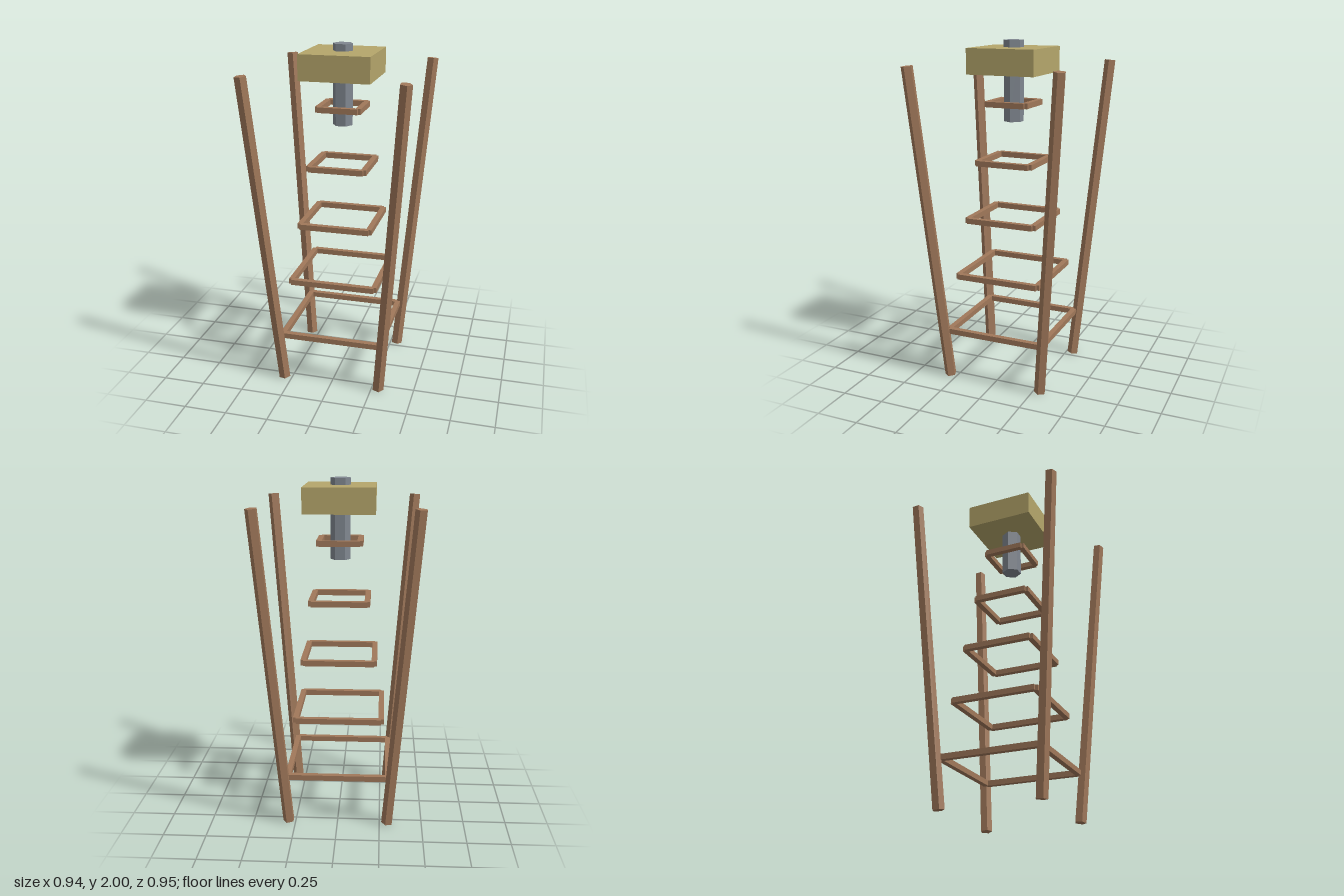
import * as THREE from 'three';

const mat = (name, color) => {
  const m = new THREE.MeshStandardMaterial({ color, flatShading: true });
  m.name = name;
  return m;
};

export function createModel() {
  const wood = mat('wood', 0xa0785a);
  const brass = mat('paleBrass', 0xb5a66b);
  const steel = mat('steelGrey', 0x808790);

  const model = new THREE.Group();
  model.name = 'tower';
  model.position.x = -0.003; // five-sided legs make the outline slightly uneven

  const add = (parent, name, geometry, material, x, y, z) => {
    const mesh = new THREE.Mesh(geometry, material);
    mesh.name = name;
    mesh.position.set(x, y, z);
    parent.add(mesh);
    return mesh;
  };

  // Four five-sided legs, splayed outwards towards the top
  const up = new THREE.Vector3(0, 1, 0);
  for (const sx of [-1, 1]) {
    for (const sz of [-1, 1]) {
      const foot = new THREE.Vector3(sx * 0.293, 0.004, sz * 0.293);
      const top = new THREE.Vector3(sx * 0.441, 1.871, sz * 0.441);
      const axis = top.clone().sub(foot);
      const mid = foot.clone().lerp(top, 0.5);
      const geo = new THREE.CylinderGeometry(0.0345, 0.0345, axis.length(), 5, 1, false, Math.PI / 2);
      const name = (sz > 0 ? 'front' : 'back') + (sx > 0 ? 'Left' : 'Right') + 'Leg';
      add(model, name, geo, wood, mid.x, mid.y, mid.z)
        .quaternion.setFromUnitVectors(up, axis.normalize());
    }
  }

  // Five square frames of four bars, shrinking upwards, with notched corners
  const bar = 0.032;
  for (let i = 0; i < 5; i++) {
    const half = 0.2935 - i * 0.0443;
    const frame = new THREE.Group();
    frame.name = 'braceFrame' + (i + 1);
    frame.position.y = 0.291 + i * 0.338;
    for (const s of [-1, 1]) {
      add(frame, 'crossBar', new THREE.BoxGeometry(half * 2, bar, bar), wood, 0, 0, s * half);
      add(frame, 'sideBar', new THREE.BoxGeometry(bar, bar, half * 2), wood, s * half, 0, 0);
    }
    model.add(frame);
  }

  // Square block with a six-sided post through it
  add(model, 'block', new THREE.BoxGeometry(0.406, 0.146, 0.406), brass, 0, 1.887, 0);
  add(model, 'post', new THREE.CylinderGeometry(0.058, 0.058, 0.462, 6, 1, false, Math.PI / 2), steel, 0, 1.769, 0);

  const root = new THREE.Group();
  root.name = 'model';
  root.add(model);
  return root;
}
